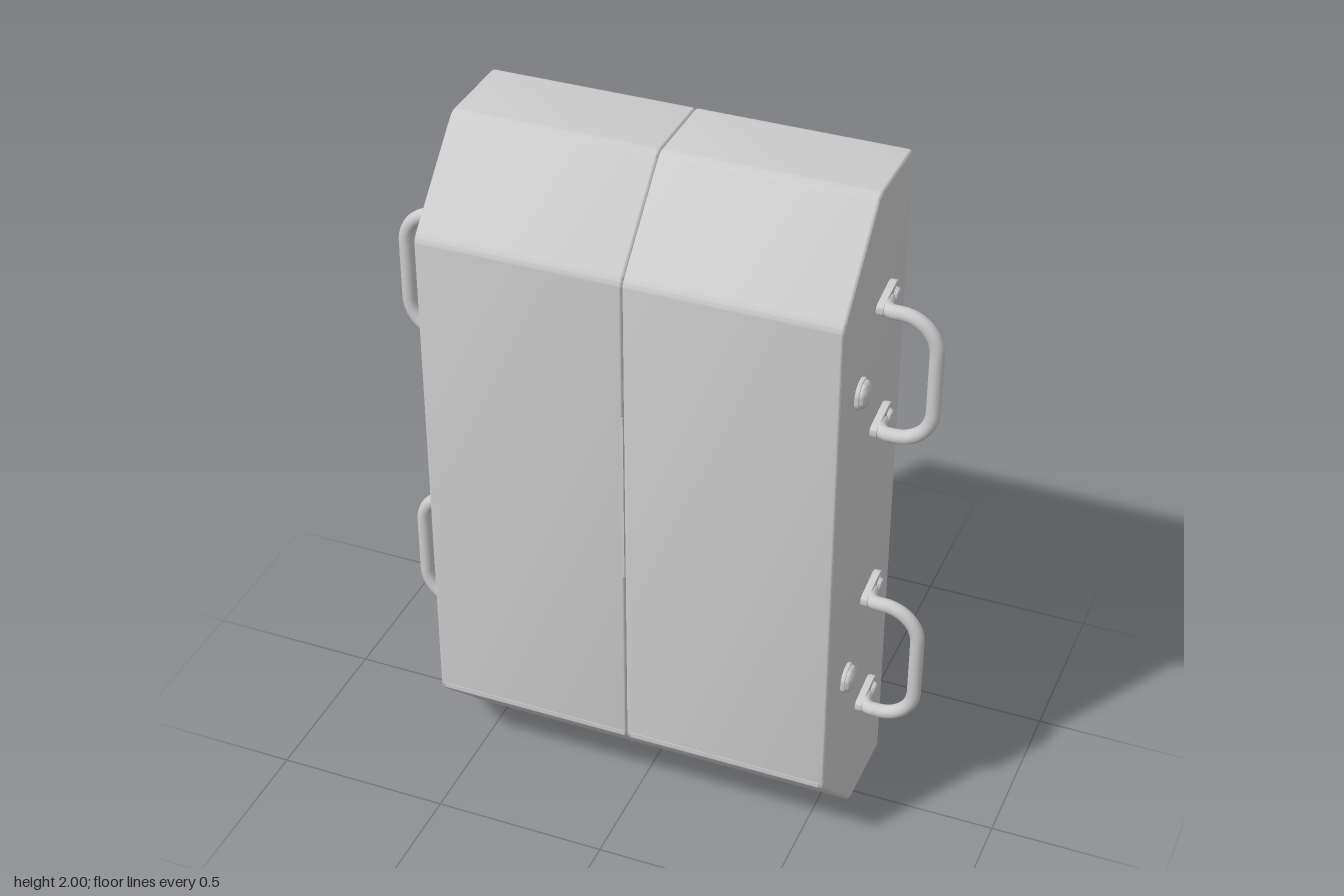
import * as THREE from 'three';
import { toCreasedNormals } from 'three/addons/utils/BufferGeometryUtils.js';

const material = new THREE.MeshStandardMaterial({ color: 0xcccccc });
const SIDE = 0.585; // half width of the case
const V = (x, y, z) => new THREE.Vector3(x, y, z);

function add(parent, name, geometry, x = 0, y = 0, z = 0) {
  const mesh = new THREE.Mesh(geometry, material);
  mesh.name = name;
  mesh.position.set(x, y, z);
  parent.add(mesh);
  return mesh;
}

// Polygon outline with small rounded corners
function roundedShape(points, r) {
  const p = points.map(([a, b]) => new THREE.Vector2(a, b));
  const shape = new THREE.Shape();
  p.forEach((c, i) => {
    const prev = p[(i + p.length - 1) % p.length], next = p[(i + 1) % p.length];
    const a = c.clone().add(prev.clone().sub(c).setLength(r));
    const b = c.clone().add(next.clone().sub(c).setLength(r));
    if (i === 0) shape.moveTo(a.x, a.y);
    else shape.lineTo(a.x, a.y);
    shape.quadraticCurveTo(c.x, c.y, b.x, b.y);
  });
  shape.closePath();
  return shape;
}

// Extrude a (z, y) outline along x, between x0 and x1
function extrudeX(shape, x0, x1, bevel) {
  const g = new THREE.ExtrudeGeometry(shape, {
    depth: x1 - x0 - 2 * bevel, curveSegments: 6, bevelEnabled: true,
    bevelSize: bevel, bevelThickness: bevel, bevelOffset: -bevel, bevelSegments: 3,
  });
  g.rotateY(-Math.PI / 2);
  g.translate(x1 - bevel, 0, 0);
  return toCreasedNormals(g, 0.6);
}

// Domed button with a cylindrical rim, pointing out along the side
function addButton(parent, name, s, x, y, z, r, rim, dome) {
  const pts = [new THREE.Vector2(r, 0), new THREE.Vector2(r, rim)];
  for (let i = 0; i <= 8; i++) {
    const a = (i / 8) * Math.PI / 2;
    pts.push(new THREE.Vector2(0.9 * r * Math.cos(a), rim + dome * Math.sin(a)));
  }
  const g = toCreasedNormals(new THREE.LatheGeometry(pts, 28), 0.6);
  add(parent, name, g, s * x, y, z).rotation.z = -s * Math.PI / 2;
}

function makeHandle(s, yMid) {
  const handle = new THREE.Group();
  handle.name = 'handle';
  const h = 0.188, r = 0.1, out = 0.75, z = 0.024;
  const P = (x, y, zz = z) => V(s * x, yMid + y, zz);

  // Bent round bar
  const path = new THREE.CurvePath();
  const line = (a, b) => path.add(new THREE.LineCurve3(a, b));
  const bend = (a, b, c) => path.add(new THREE.CubicBezierCurve3(
    a, a.clone().lerp(b, 0.56), c.clone().lerp(b, 0.56), c));
  bend(P(0.597, h, -0.03), P(0.597, h), P(0.63, h));
  line(P(0.63, h), P(out - r, h));
  bend(P(out - r, h), P(out, h), P(out, h - r));
  line(P(out, h - r), P(out, r - h));
  bend(P(out, r - h), P(out, -h), P(out - r, -h));
  line(P(out - r, -h), P(0.63, -h));
  bend(P(0.63, -h), P(0.597, -h), P(0.597, -h, -0.03));
  add(handle, 'handleBar', new THREE.TubeGeometry(path, 100, 0.02, 14));

  // Flattened tabs, each held by a bolt
  for (const e of [1, -1]) {
    const tab = new THREE.Shape();
    tab.absarc(-0.068, 0, 0.033, Math.PI * 0.45, Math.PI * 1.55);
    tab.absarc(0.02, 0, 0.018, -Math.PI * 0.45, Math.PI * 0.45);
    const g = extrudeX(tab, -0.011, 0.011, 0.004);
    add(handle, 'handleTab', g, s * (SIDE + 0.01), yMid + e * h, 0);
    addButton(handle, 'handleBolt', s, SIDE + 0.02, yMid + e * h, -0.062, 0.02, 0.004, 0.011);
  }
  return handle;
}

export function createModel() {
  const model = new THREE.Group();
  model.name = 'case';

  // Two shell halves with chamfered top and bottom, meeting at a seam
  const profile = roundedShape([
    [-0.22, 0], [0.04, 0], [0.29, 0.25], [0.29, 1.75], [0.04, 2], [-0.22, 2],
  ], 0.02);
  const seam = -0.004;
  add(model, 'leftShell', extrudeX(profile, seam, SIDE, 0.008));
  add(model, 'rightShell', extrudeX(profile, -SIDE, seam, 0.008));

  // Thin trim strips along the lower front edge and the front seam
  const stripGeometry = new THREE.BoxGeometry(0.56, 0.014, 0.006);
  for (const s of [1, -1]) add(model, 'trimStrip', stripGeometry, s * 0.29, 0.262, 0.289);
  add(model, 'seamStrip', new THREE.BoxGeometry(0.008, 0.52, 0.006), -0.008, 1.08, 0.289);

  // Latch block across the seam at the back
  add(model, 'rearLatch', new THREE.BoxGeometry(0.146, 0.142, 0.09), 0, 1.003, -0.255);

  // Handles and domed buttons on both sides
  for (const s of [1, -1]) {
    for (const [handleY, buttonY] of [[1.474, 1.475], [0.536, 0.537]]) {
      model.add(makeHandle(s, handleY));
      addButton(model, 'sideButton', s, SIDE - 0.001, buttonY, 0.138, 0.044, 0.012, 0.02);
    }
  }
  return model;
}
